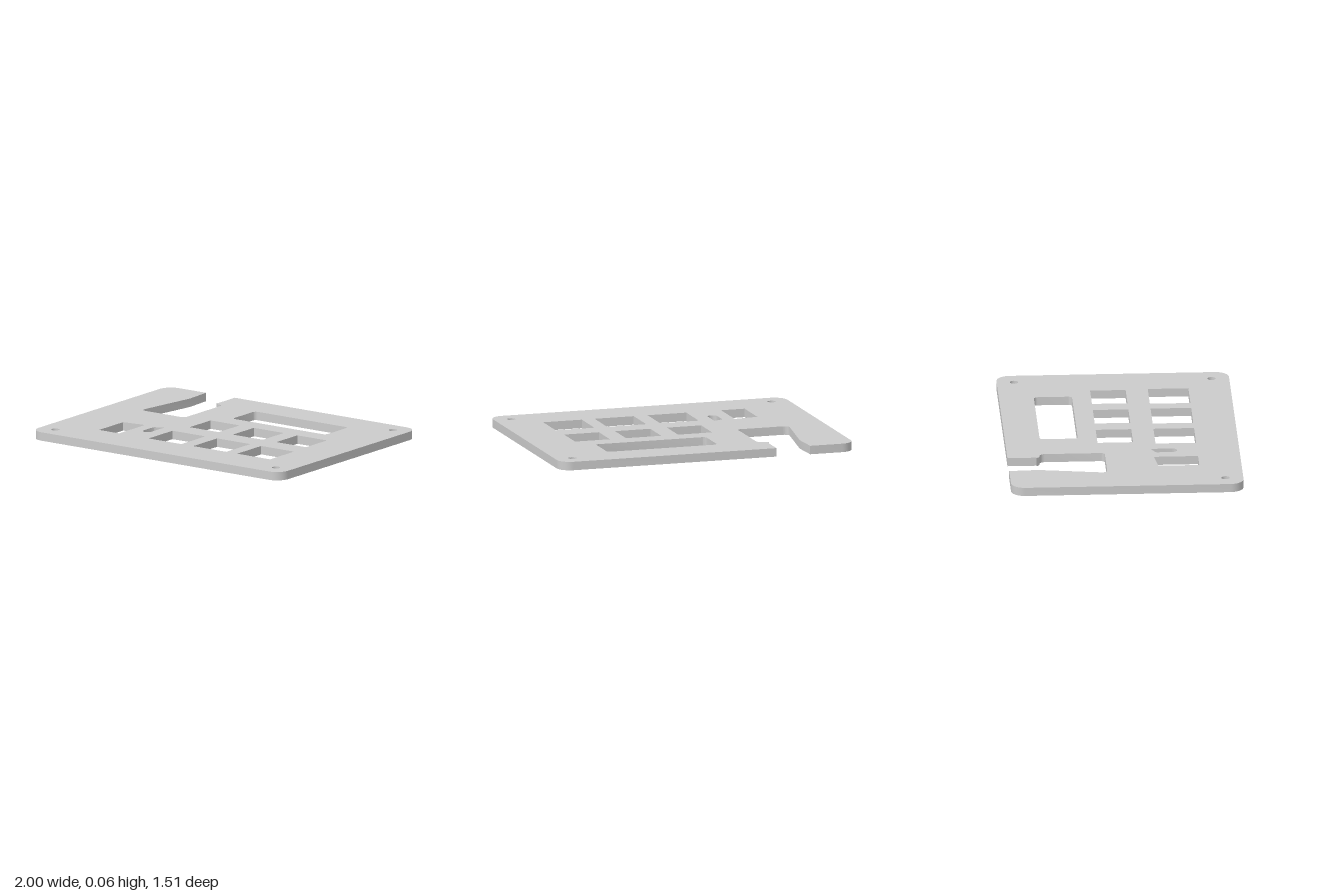
import * as THREE from 'three';
import { toCreasedNormals } from 'three/addons/utils/BufferGeometryUtils.js';

const BOTTOM = 0.003, TOP = 0.059;

// Closed outline from [x, z, cornerRadius] points, drawn with y = -z
function outline(points, Type = THREE.Path) {
  const path = new Type();
  const n = points.length;
  points.forEach(([x, z, r = 0], i) => {
    const corner = new THREE.Vector2(x, -z);
    const toward = ([px, pz]) =>
      new THREE.Vector2(px, -pz).sub(corner).setLength(r).add(corner);
    const a = r ? toward(points[(i + n - 1) % n]) : corner;
    if (i === 0) path.moveTo(a.x, a.y);
    else path.lineTo(a.x, a.y);
    if (r) {
      const b = toward(points[(i + 1) % n]);
      // control points that approximate a round corner
      const c1 = a.clone().lerp(corner, 0.55), c2 = b.clone().lerp(corner, 0.55);
      path.bezierCurveTo(c1.x, c1.y, c2.x, c2.y, b.x, b.y);
    }
  });
  path.closePath();
  return path;
}

// Openings run clockwise, against the counterclockwise plate edge
const rect = (x0, x1, z0, z1, r = 0) =>
  outline([[x0, z0, r], [x1, z0, r], [x1, z1, r], [x0, z1, r]]);

const circle = (x, z, r) => new THREE.Path().absarc(x, -z, r, 0, Math.PI * 2, true);

export function createModel() {
  const group = new THREE.Group();
  group.name = 'panel';
  const material = new THREE.MeshStandardMaterial({ color: 0xcccccc });

  // Rounded plate with an open notch in its back edge
  const plate = outline([
    [-1, 0.753, 0.088], [1, 0.753, 0.088], [1, -0.753, 0.088],
    [-0.465, -0.753], [-0.465, -0.565], [-0.475, -0.565], [-0.455, -0.545],
    [-0.405, -0.54, 0.03], [-0.405, -0.12, 0.025],
    [-0.755, -0.12, 0.04], [-0.685, -0.565], [-0.695, -0.753],
    [-1, -0.753, 0.088],
  ], THREE.Shape);

  // Display window
  plate.holes.push(rect(-0.138, 0.61, -0.527, -0.28, 0.025));

  // Two rows of button openings
  for (const [x0, x1] of [[-0.222, 0.01], [0.124, 0.364], [0.473, 0.71]])
    plate.holes.push(rect(x0, x1, -0.157, 0.073));
  for (const [x0, x1] of [[-0.253, 0.01], [0.104, 0.37], [0.457, 0.72]])
    plate.holes.push(rect(x0, x1, 0.217, 0.48));

  // Slanted opening and the narrow slot beside it
  plate.holes.push(outline([[-0.65, 0.215], [-0.49, 0.195], [-0.49, 0.48], [-0.65, 0.48]]));
  plate.holes.push(outline([
    [-0.41, 0.21, 0.01], [-0.347, 0.18], [-0.347, 0.35, 0.0314], [-0.41, 0.35, 0.0314],
  ]));

  // Screw holes; the front one at -x is blind
  for (const [x, z] of [[0.885, -0.64], [0.885, 0.638], [-0.885, 0.638]])
    plate.holes.push(circle(x, z, 0.027));

  const geometry = new THREE.ExtrudeGeometry(plate, {
    depth: TOP - BOTTOM, bevelEnabled: false, curveSegments: 10,
  });
  geometry.rotateX(-Math.PI / 2).translate(0, BOTTOM, 0);
  const plateMesh = new THREE.Mesh(toCreasedNormals(geometry, 0.6), material);
  plateMesh.name = 'facePlate';
  group.add(plateMesh);

  // Floor of the blind screw hole
  const floor = new THREE.Mesh(new THREE.CylinderGeometry(0.027, 0.027, 0.008, 20), material);
  floor.position.set(-0.885, BOTTOM + 0.004, 0.638);
  floor.name = 'blindHoleFloor';
  group.add(floor);

  return group;
}
